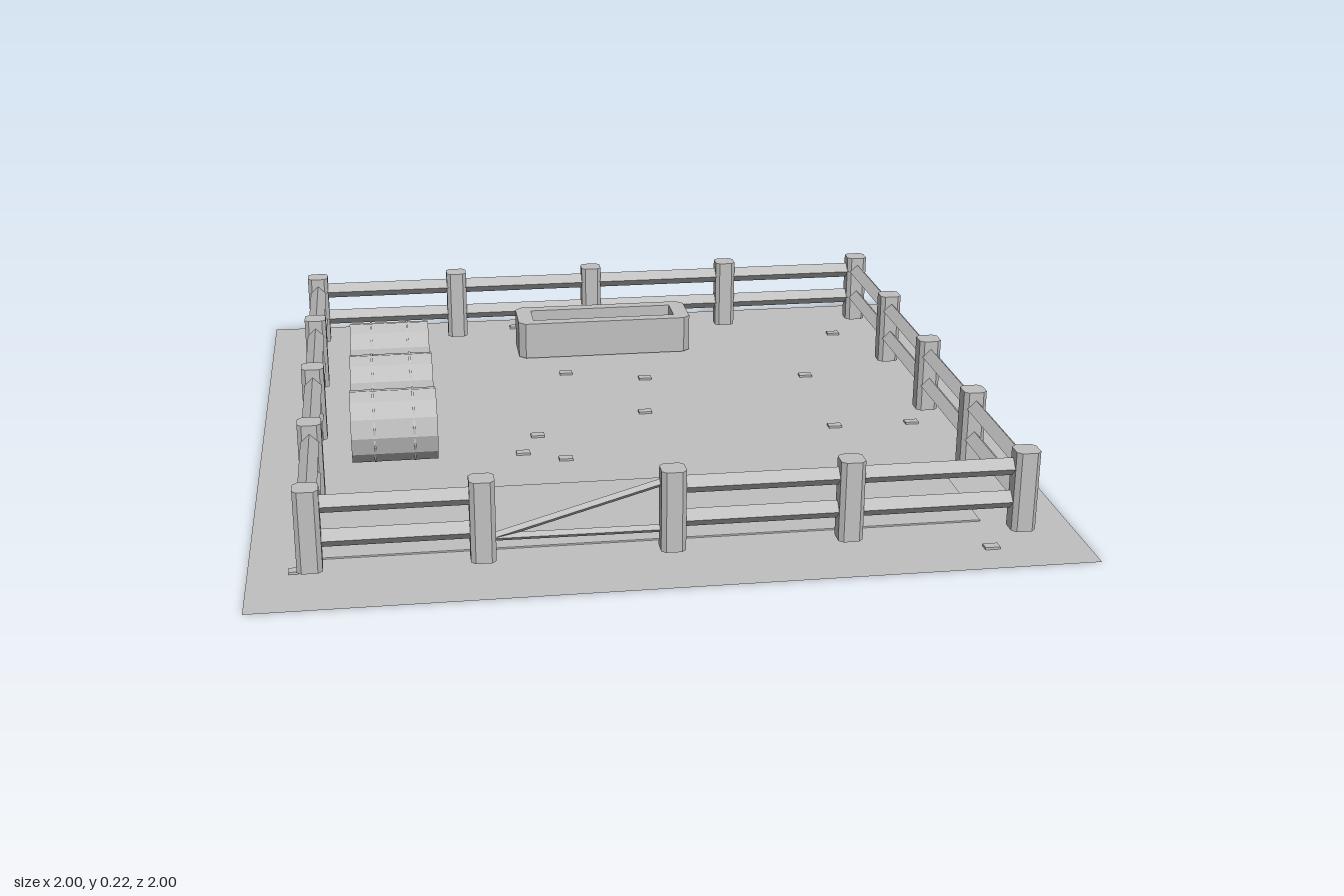
import * as THREE from 'three';

export function createModel() {
  const model = new THREE.Group();
  model.name = 'fencedPen';
  const grey = new THREE.MeshStandardMaterial({ color: 0xc0c0c0, flatShading: true, side: THREE.DoubleSide });
  grey.name = 'plain grey';

  function add(geometry, name, x = 0, y = 0, z = 0, parent = model) {
    const mesh = new THREE.Mesh(geometry, grey);
    mesh.name = name;
    mesh.position.set(x, y, z);
    parent.add(mesh);
    return mesh;
  }

  // Rectangle with cut corners, centred on the origin
  function cutRect(w, d, c, Type = THREE.Shape) {
    const a = w / 2, b = d / 2;
    return new Type([
      [-a + c, -b], [a - c, -b], [a, -b + c], [a, b - c],
      [a - c, b], [-a + c, b], [-a, b - c], [-a, -b + c],
    ].map(([x, y]) => new THREE.Vector2(x, y)));
  }

  // Extrusion standing upright from y = 0
  function upright(shape, height) {
    const g = new THREE.ExtrudeGeometry(shape, { depth: height, bevelEnabled: false });
    return g.rotateX(-Math.PI / 2);
  }

  // Ground sheet and worn strip
  add(new THREE.PlaneGeometry(2, 2).rotateX(-Math.PI / 2), 'ground');
  add(new THREE.BoxGeometry(1.625, 0.004, 0.37), 'dirtStrip', -0.028, 0.003, 0.555);

  // Small flat stones scattered over the ground
  const stone = new THREE.BoxGeometry(0.037, 0.006, 0.024);
  [[-0.235, -0.915], [0.765, -0.715], [-0.12, -0.46], [0.11, -0.385], [0.59, -0.345],
    [0.07, -0.11], [-0.25, 0.03], [0.58, 0.07], [0.8, 0.07], [-0.3, 0.15],
    [-0.19, 0.205], [0.765, 0.89], [-0.885, 0.8],
  ].forEach(([x, z]) => add(stone, 'stone', x, 0.004, z));

  // Fence posts with cut corners
  const fence = new THREE.Group();
  fence.name = 'fence';
  model.add(fence);
  const postGeometry = upright(cutRect(0.06, 0.06, 0.011), 0.205);
  const left = 0.86, right = -0.853, front = 0.82, back = -0.83;
  const posts = [
    ...[right, -0.45, 0, 0.43, left].map((x) => [x, front]),
    ...[right, -0.425, 0, 0.43, left].map((x) => [x, back]),
    ...[right, left].flatMap((x) => [-0.42, -0.005, 0.405].map((z) => [x, z])),
  ];
  posts.forEach(([x, z]) => add(postGeometry, 'post', x, 0.018, z, fence));

  // Four-sided rail between two points
  function rail(from, to, radius, name) {
    const a = new THREE.Vector3(...from), b = new THREE.Vector3(...to);
    const mesh = add(new THREE.CylinderGeometry(radius, radius, a.distanceTo(b), 4), name, 0, 0, 0, fence);
    mesh.position.copy(a).add(b).multiplyScalar(0.5);
    mesh.quaternion.setFromUnitVectors(new THREE.Vector3(0, 1, 0), b.sub(a).normalize());
  }
  for (const y of [0.092, 0.178]) {
    rail([right, y, front - 0.005], [-0.45, y, front - 0.005], 0.023, 'frontRail');
    rail([0, y, front - 0.005], [left, y, front - 0.005], 0.023, 'frontRail');
    rail([right, y, back], [left, y, back], 0.023, 'backRail');
    for (const x of [right, left]) rail([x, y, back], [x, y, front], 0.023, 'sideRail');
  }
  // Fallen poles in the gap
  rail([-0.45, 0.062, 0.812], [0, 0.192, 0.812], 0.01, 'fallenPole');
  rail([-0.45, 0.068, 0.812], [0, 0.066, 0.812], 0.01, 'fallenPole');

  // Barrels lying on their sides, hoop corners peeping through
  const body = new THREE.CylinderGeometry(0.097, 0.097, 0.226, 12).rotateZ(Math.PI / 2);
  const hoop = new THREE.CylinderGeometry(0.0985, 0.0985, 0.006, 12).rotateY(Math.PI / 12).rotateZ(Math.PI / 2);
  for (const z of [-0.412, -0.132, 0.15]) {
    const barrel = new THREE.Group();
    barrel.name = 'barrel';
    barrel.position.set(-0.642, 0.104, z);
    model.add(barrel);
    add(body, 'barrelBody', 0, 0, 0, barrel);
    for (const x of [-0.052, 0.052]) add(hoop, 'barrelHoop', x, 0, 0, barrel);
  }

  // Trough with a sunken basin
  const rim = cutRect(0.53, 0.166, 0.02);
  rim.holes.push(cutRect(0.436, 0.094, 0, THREE.Path));
  add(upright(rim, 0.11), 'troughWall', 0.018, 0.006, -0.683);
  add(new THREE.BoxGeometry(0.436, 0.07, 0.094), 'troughBasin', 0.018, 0.041, -0.676);

  return model;
}
